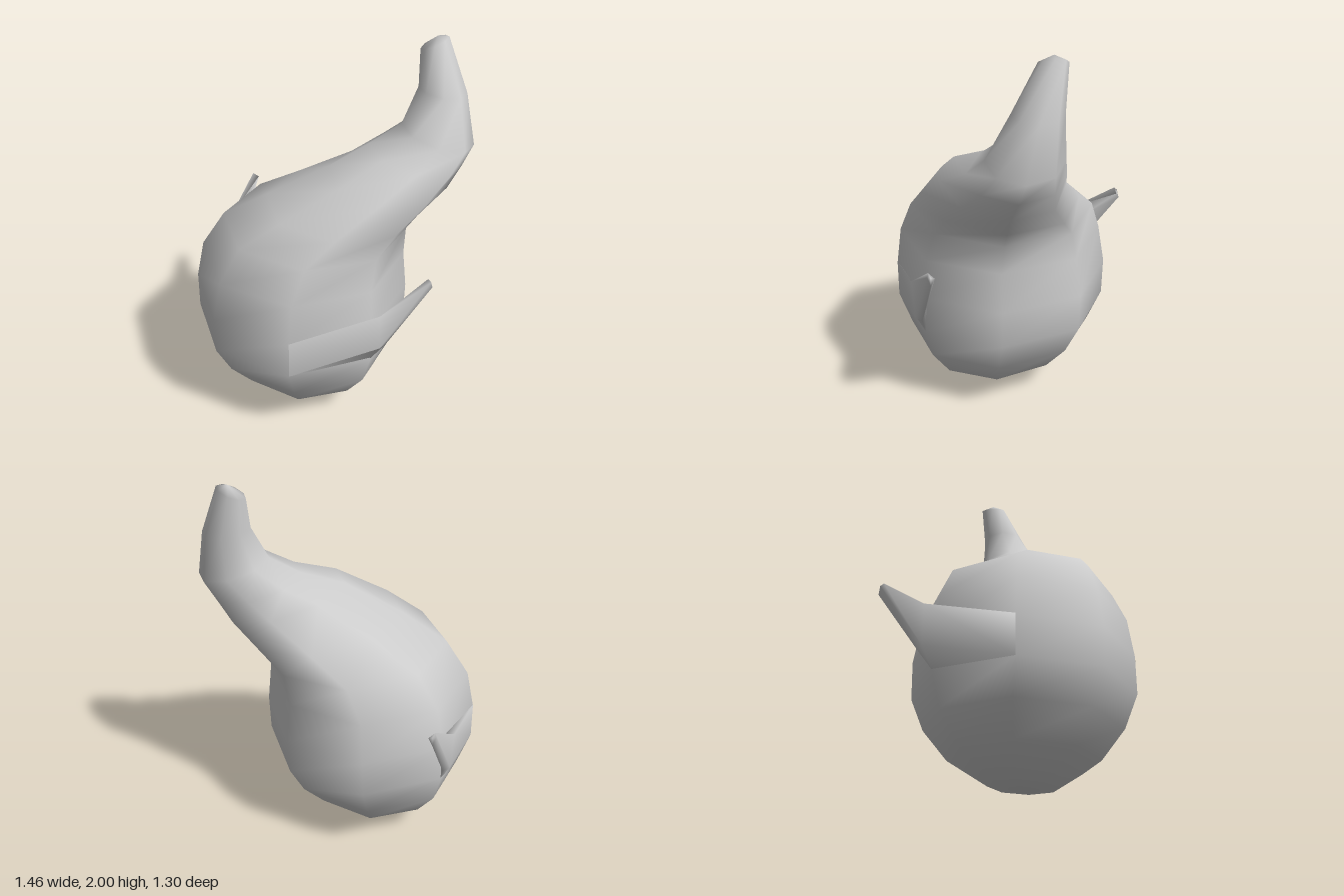
import * as THREE from 'three';

const material = new THREE.MeshStandardMaterial({ color: 0xcccccc, side: THREE.DoubleSide });

// Skin through a list of closed sections; a section of one point closes the end.
function loft(sections, name) {
  const pos = [], start = [], index = [];
  for (const s of sections) {
    start.push(pos.length / 3);
    s.forEach(p => pos.push(...p));
  }
  const sides = Math.max(...sections.map(s => s.length));
  const id = (s, j) => start[s] + j % sections[s].length;
  for (let s = 0; s < sections.length - 1; s++) {
    for (let j = 0; j < sides; j++) {
      const a = id(s, j), b = id(s, j + 1), c = id(s + 1, j), d = id(s + 1, j + 1);
      if (a !== b) index.push(a, c, b);
      if (c !== d) index.push(b, c, d);
    }
  }
  const geo = new THREE.BufferGeometry();
  geo.setAttribute('position', new THREE.Float32BufferAttribute(pos, 3));
  geo.setIndex(index);
  geo.computeVertexNormals();
  const mesh = new THREE.Mesh(geo, material);
  mesh.name = name;
  return mesh;
}

// Eight-sided ring, tilted along the diagonal the horn leans in.
function ring([cx, cy, cz, rx, rz, tilt]) {
  return Array.from({ length: 8 }, (_, j) => {
    const c = Math.cos(j * Math.PI / 4), s = Math.sin(j * Math.PI / 4);
    return [cx + rx * c, cy + tilt * (c - s), cz + rz * s];
  });
}

export function createModel() {
  const group = new THREE.Group();

  // Drop-shaped body flowing into a bent horn: centre x, y, z, radius x, z, tilt
  const rings = [
    [0, 0.03, 0.085, 0.19, 0.165, 0],
    [0, 0.155, 0.085, 0.4, 0.35, 0],
    [0, 0.31, 0.083, 0.515, 0.48, 0],
    [0, 0.48, 0.083, 0.565, 0.567, 0],
    [0, 0.68, 0.08, 0.565, 0.57, 0],
    [0.01, 0.89, 0.075, 0.535, 0.535, 0],
    [0.05, 1.06, 0.025, 0.47, 0.485, -0.015],
    [0.17, 1.185, -0.08, 0.37, 0.43, -0.03],
    [0.31, 1.33, -0.235, 0.27, 0.335, -0.045],
    [0.36, 1.43, -0.375, 0.23, 0.235, -0.04],
    [0.41, 1.535, -0.475, 0.185, 0.18, -0.035],
    [0.38, 1.75, -0.52, 0.12, 0.12, -0.01],
    [0.295, 1.965, -0.53, 0.065, 0.07, 0.022],
  ];
  group.add(loft([[[0, 0, 0.083]], ...rings.map(ring), [[0.305, 2, -0.54]]], 'body'));

  // Small pointed arms: root on the body, elbow, tip
  const arm = [
    [[0.4, 0.685, 0.483], [0.56, 0.68, 0.08], [0.56, 0.48, 0.083], [0.4, 0.48, 0.483]],
    [[0.63, 0.8, 0.09], [0.595, 0.77, 0.01], [0.62, 0.59, 0.03], [0.625, 0.59, 0.08]],
    [[0.715, 0.965, -0.14], [0.7, 0.94, -0.17], [0.725, 0.91, -0.168], [0.73, 0.95, -0.15]],
    [[0.717, 0.945, -0.16]],
  ];
  group.add(loft(arm, 'leftArm'));
  const mirrored = arm.map(s => s.map(([x, y, z]) => [-x, y, z]).reverse());
  group.add(loft(mirrored, 'rightArm'));

  return group;
}
